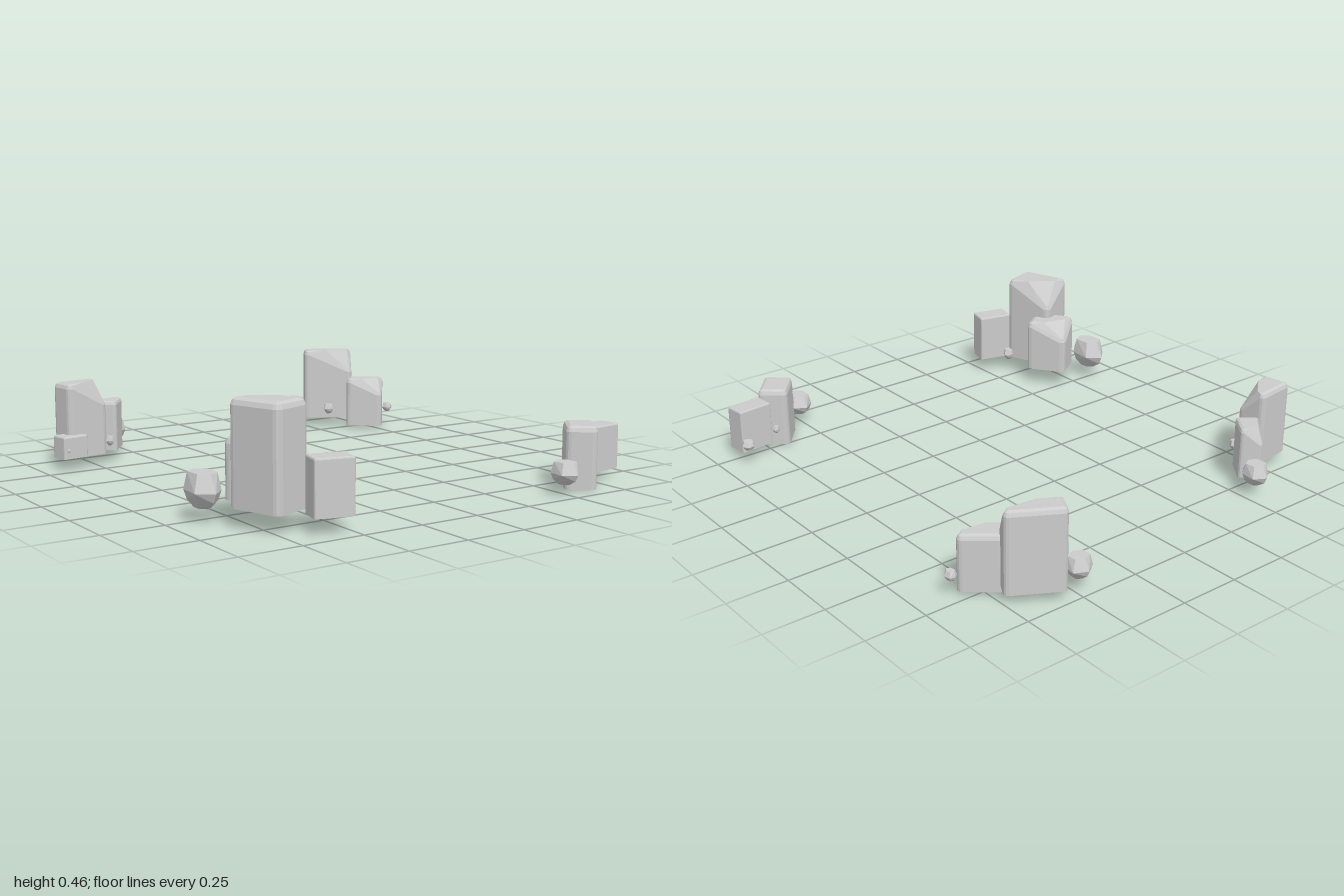
import * as THREE from 'three';
import { ConvexGeometry } from 'three/addons/geometries/ConvexGeometry.js';

const material = new THREE.MeshStandardMaterial({ color: 0xcccccc, flatShading: true });

// One ring of points round a rectangle with rounded corners, lowered at the chipped corner
function ring(points, w, d, radius, y, inset, chip, chipDepth) {
  for (const sx of [-1, 1]) for (const sz of [-1, 1]) {
    const chipped = chip && chip[0] === sx && chip[1] === sz;
    for (let i = 0; i <= 3; i++) {
      const a = (i / 3) * Math.PI / 2;
      points.push(new THREE.Vector3(
        sx * (w / 2 - radius + (radius - inset) * Math.cos(a)),
        y - (chipped ? chipDepth : 0),
        sz * (d / 2 - radius + (radius - inset) * Math.sin(a))));
    }
  }
}

// Upright stone with a flat base, softened edges and an optional chipped top corner
function blockGeometry(w, h, d, bevel, chip) {
  const points = [];
  const depth = Math.min(0.09, h * 0.26);
  ring(points, w, d, bevel, 0, 0);
  ring(points, w, d, bevel, h - bevel, 0, chip, depth);
  ring(points, w, d, bevel, h - bevel * 0.3, bevel * 0.3, chip, depth);
  ring(points, w, d, bevel, h, bevel * 0.9, chip, depth);
  if (chip) {
    // Keep the top flat up to the chip
    const [sx, sz] = chip;
    const x = w / 2 - bevel, z = d / 2 - bevel;
    points.push(new THREE.Vector3(sx * (x - w * 0.45), h, sz * z));
    points.push(new THREE.Vector3(sx * x, h, sz * (z - d * 0.45)));
  }
  return new ConvexGeometry(points);
}

// Faceted boulder: small flat top, wide waist, tapering underside
function rockGeometry(w, h, d, turn) {
  const points = [];
  const levels = [[0, 0.4], [0.22, 0.76], [0.5, 1], [1, 0.68]];
  levels.forEach(([y, r], level) => {
    for (let i = 0; i < 6; i++) {
      const a = turn + i * Math.PI / 3;
      const wobble = 1 - 0.07 * ((i * 2 + level) % 3);
      points.push(new THREE.Vector3(
        Math.cos(a) * r * wobble * w / 2, y * h, Math.sin(a) * r * wobble * d / 2));
    }
  });
  return new ConvexGeometry(points);
}

// blocks: x, z, bottom, top, width, depth, angle in degrees, bevel, chipped corner
// rocks:  x, z, bottom, top, width, depth
const clusters = {
  frontRightCluster: {
    blocks: [
      [-0.715, 0.73, 0.07, 0.46, 0.17, 0.225, -19, 0.025, [1, -1]],
      [-0.68, 0.59, 0.075, 0.305, 0.16, 0.185, -34, 0.025, [1, -1]],
      [-0.57, 0.897, 0.06, 0.27, 0.152, 0.097, 14, 0.007],
    ],
    rocks: [
      [-0.86, 0.52, 0.05, 0.18, 0.14, 0.21],
      [-0.595, 0.8, 0.06, 0.11, 0.055, 0.055],
    ],
  },
  frontLeftCluster: {
    blocks: [
      [0.657, 0.84, 0, 0.25, 0.17, 0.125, -51, 0.022],
      [0.825, 0.768, 0.035, 0.22, 0.152, 0.092, -6, 0.006],
    ],
    rocks: [
      [0.5, 0.925, 0.04, 0.128, 0.12, 0.15],
      [0.89, 0.677, 0.065, 0.105, 0.06, 0.07],
      [0.72, 0.742, 0.07, 0.1, 0.035, 0.035],
    ],
  },
  backLeftCluster: {
    blocks: [
      [0.628, -0.88, 0.037, 0.365, 0.23, 0.105, 30, 0.02, [1, 1]],
      [0.735, -0.717, 0.01, 0.237, 0.17, 0.115, 39, 0.02, [1, 1]],
    ],
    rocks: [
      [0.475, -0.943, 0.05, 0.137, 0.12, 0.12],
      [0.582, -0.802, 0.065, 0.11, 0.055, 0.055],
      [0.858, -0.7, 0.065, 0.105, 0.05, 0.06],
    ],
  },
  backRightCluster: {
    blocks: [
      [-0.79, -0.65, 0.04, 0.352, 0.187, 0.12, -8, 0.02, [1, 1]],
      [-0.625, -0.727, 0.04, 0.252, 0.135, 0.095, -53, 0.015, [1, -1]],
      [-0.865, -0.59, 0.047, 0.14, 0.115, 0.085, -8, 0.006],
    ],
    rocks: [
      [-0.548, -0.84, 0.05, 0.14, 0.115, 0.135],
      [-0.68, -0.602, 0.075, 0.115, 0.042, 0.045],
      [-0.905, -0.517, 0.08, 0.095, 0.016, 0.016],
    ],
  },
};

export function createModel() {
  const model = new THREE.Group();
  model.name = 'stoneClusters';
  for (const [name, { blocks, rocks }] of Object.entries(clusters)) {
    const cluster = new THREE.Group();
    cluster.name = name;
    blocks.forEach(([x, z, y0, y1, w, d, angle, bevel, chip], i) => {
      const block = new THREE.Mesh(blockGeometry(w, y1 - y0, d, bevel, chip), material);
      block.name = `stoneBlock${i + 1}`;
      block.position.set(x, y0, z);
      block.rotation.y = -THREE.MathUtils.degToRad(angle);
      cluster.add(block);
    });
    rocks.forEach(([x, z, y0, y1, w, d], i) => {
      const rock = new THREE.Mesh(rockGeometry(w, y1 - y0, d, Math.PI / 6 + i * 0.4), material);
      rock.name = i === 0 ? 'boulder' : `pebble${i}`;
      rock.position.set(x, y0, z);
      cluster.add(rock);
    });
    model.add(cluster);
  }
  return model;
}
